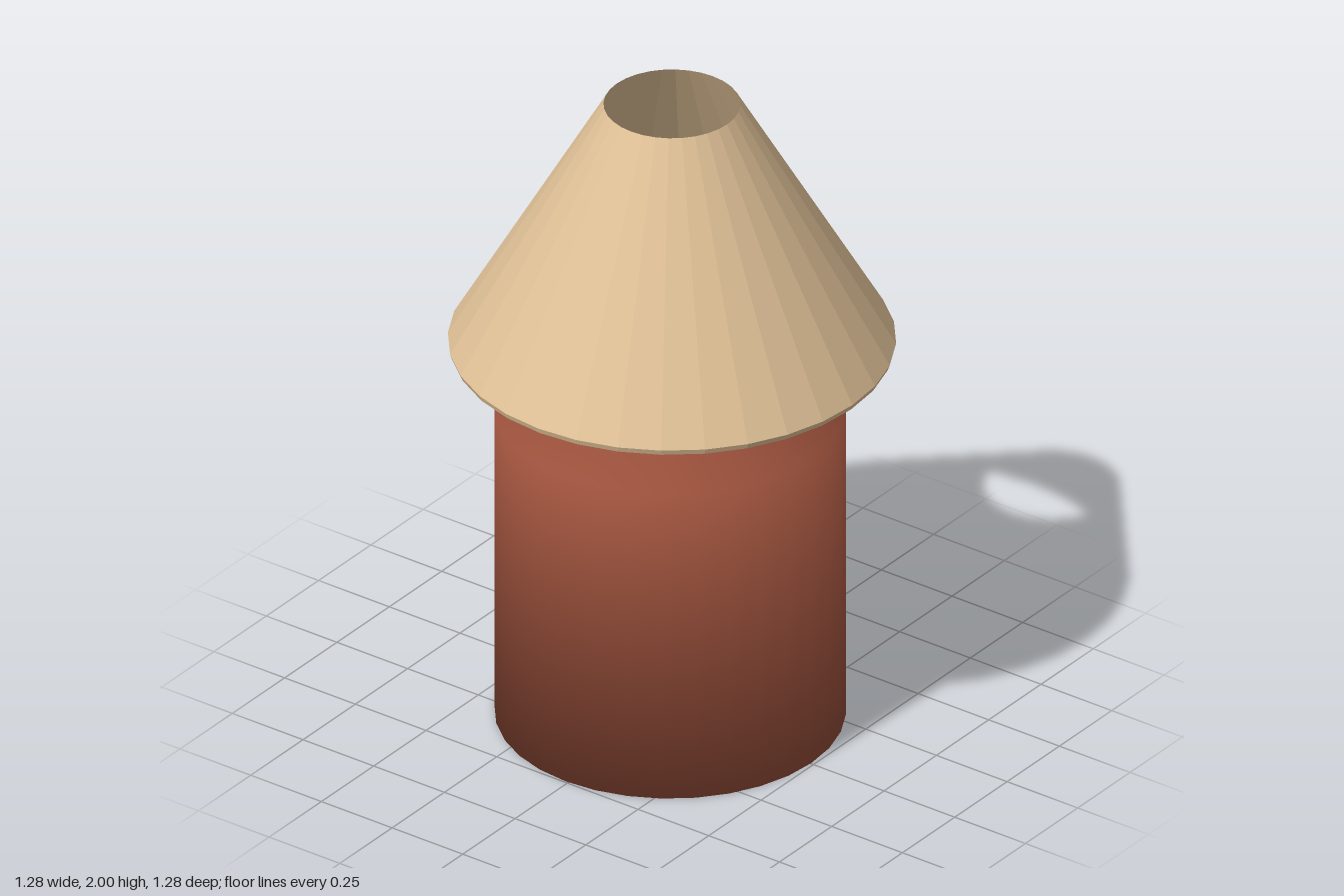
import * as THREE from 'three';

const mat = (color, extra = {}) => new THREE.MeshStandardMaterial({ color, ...extra });

function addMesh(group, name, geometry, material, x, y, z) {
  const mesh = new THREE.Mesh(geometry, material);
  mesh.name = name;
  mesh.position.set(x, y, z);
  group.add(mesh);
  return mesh;
}

// Closed cylinder whose normals blend softly across the rims
function softCylinder(radius, height, segments) {
  const geometry = new THREE.CylinderGeometry(radius, radius, height, segments);
  const p = geometry.attributes.position;
  const n = new THREE.Vector3();
  for (let i = 0; i < p.count; i++) {
    n.set(p.getX(i) / radius, Math.sign(p.getY(i)), p.getZ(i) / radius).normalize();
    geometry.attributes.normal.setXYZ(i, n.x, n.y, n.z);
  }
  return geometry;
}

export function createModel() {
  const lamp = new THREE.Group();
  lamp.name = 'tableLamp';

  // Base and the socket standing on it
  addMesh(lamp, 'base', softCylinder(0.5, 1, 32), mat(0x9a503b), 0.005, 0.5, -0.01);
  addMesh(lamp, 'socket', softCylinder(0.167, 0.26, 32), mat(0xaaa244), 0, 1.115, -0.01);

  // Faceted bulb, turned so one corner points straight up
  const bulb = new THREE.IcosahedronGeometry(0.14, 1);
  bulb.rotateZ(Math.atan(2 / (1 + Math.sqrt(5))));
  addMesh(lamp, 'bulb', bulb, mat(0x111111, { flatShading: true }), 0, 1.41, 0);

  // Open conical shade with a small lip turned in at the lower edge
  const profile = [[0.632, 1.213], [0.638, 1.23], [0.195, 2]].map(([r, y]) => new THREE.Vector2(r, y));
  const shade = new THREE.LatheGeometry(profile, 32);
  addMesh(lamp, 'shade', shade, mat(0xdfc096, { flatShading: true, side: THREE.DoubleSide }), 0, 0, 0);

  return lamp;
}
